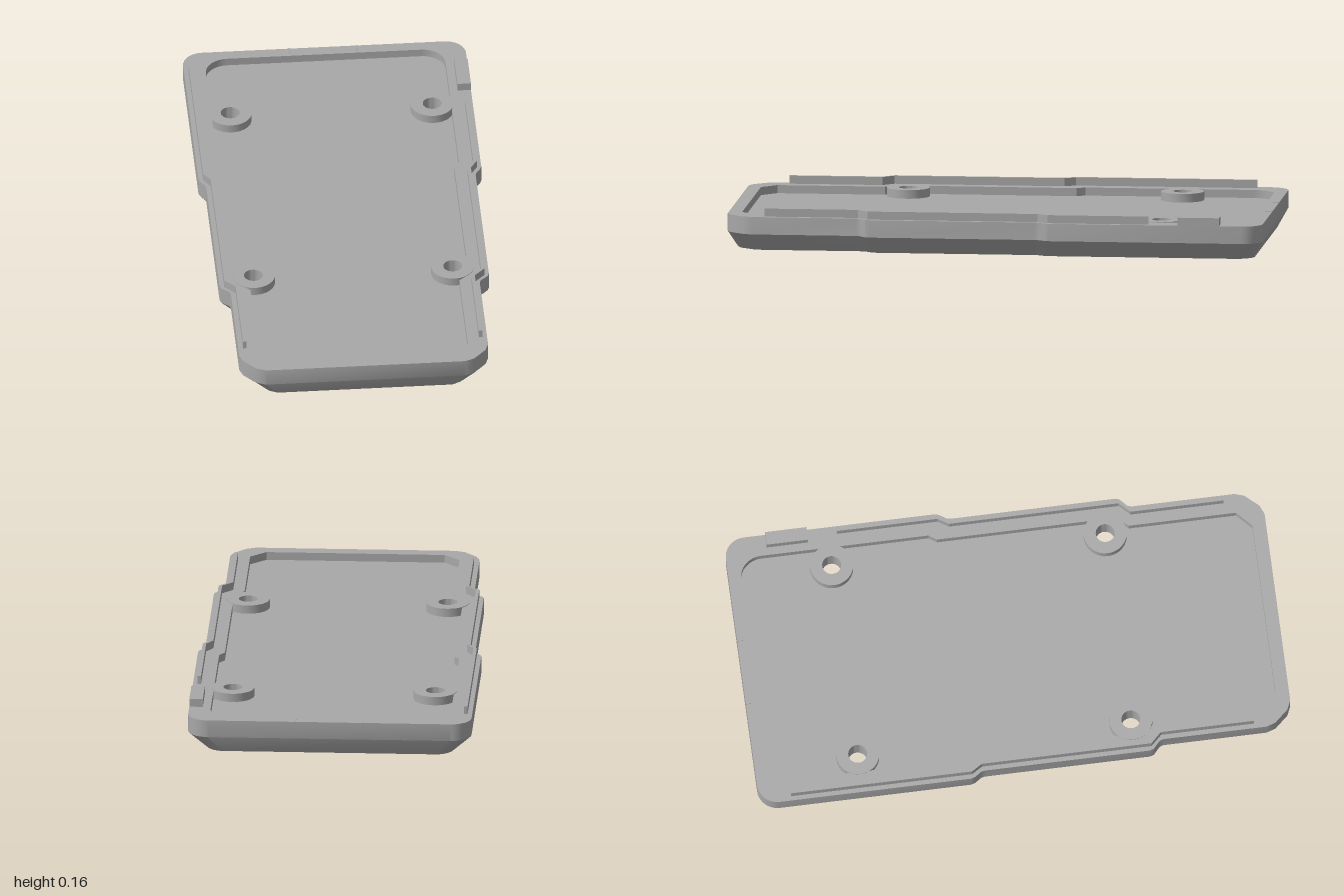
import * as THREE from 'three';
import { toCreasedNormals } from 'three/addons/utils/BufferGeometryUtils.js';

const RIM = 0.13, FLOOR = 0.1, LIP = 0.16;
const BOSSES = [[0.375, -0.615], [-0.375, -0.615], [0.37, 0.405], [-0.37, 0.405]];

// Rounded corner points from the back edge round to the side
function backCorner(x, z, r) {
  const pts = [];
  for (let i = 0; i <= 8; i++) {
    const a = (i / 8) * Math.PI / 2;
    pts.push([x - r + r * Math.sin(a), z + r - r * Math.cos(a)]);
  }
  return pts;
}

// Close a right-hand half outline (back to front) with its mirror image
const mirrored = half => [...half, ...half.map(([x, z]) => [-x, z]).reverse()];

const outer = mirrored([
  ...backCorner(0.525, -1, 0.075),
  [0.525, -0.21], [0.52, -0.195], [0.503, -0.17], [0.5, -0.155],
  [0.5, 0.46], [0.495, 0.475], [0.467, 0.5], [0.462, 0.515],
  [0.462, 0.9], [0.45, 0.935], [0.405, 0.985], [0.37, 1],
]);
const inner = mirrored([
  ...backCorner(0.445, -0.955, 0.085),
  [0.445, -0.245], [0.425, -0.215], [0.425, 0.46],
  [0.388, 0.495], [0.388, 0.895], [0.33, 0.95],
]);

// Flat shape in plan; up = true faces +y, otherwise -y
function plate(points, y, up, holes = []) {
  const s = up ? -1 : 1;
  const shape = new THREE.Shape(points.map(([x, z]) => new THREE.Vector2(x, s * z)));
  for (const h of holes) shape.holes.push(new THREE.Path(h.map(([x, z]) => new THREE.Vector2(x, s * z))));
  return new THREE.ShapeGeometry(shape).rotateX(s * Math.PI / 2).translate(0, y, 0);
}

function circles(r) {
  return BOSSES.map(([cx, cz]) => Array.from({ length: 32 }, (_, i) => {
    const a = i / 32 * Math.PI * 2;
    return [cx + r * Math.cos(a), cz + r * Math.sin(a)];
  }));
}

// Wall through closed rings of [points, y]
function wall(rings) {
  const pos = [];
  for (let k = 0; k < rings.length - 1; k++) {
    const [lo, y0] = rings[k], [hi, y1] = rings[k + 1];
    for (let i = 0; i < lo.length; i++) {
      const j = (i + 1) % lo.length;
      const a = [lo[i][0], y0, lo[i][1]], b = [lo[j][0], y0, lo[j][1]];
      const c = [hi[i][0], y1, hi[i][1]], d = [hi[j][0], y1, hi[j][1]];
      pos.push(...a, ...c, ...b, ...c, ...d, ...b);
    }
  }
  const g = new THREE.BufferGeometry();
  g.setAttribute('position', new THREE.Float32BufferAttribute(pos, 3));
  return toCreasedNormals(g, 0.5);
}

export function createModel() {
  const model = new THREE.Group();
  model.name = 'enclosureHalf';
  const grey = new THREE.MeshStandardMaterial({ color: 0xa8a8a8 });
  grey.name = 'grey plastic';
  const add = (name, geometry) => {
    const m = new THREE.Mesh(geometry, grey);
    m.name = name;
    model.add(m);
    return m;
  };

  // Tray shell with a chamfered lower edge
  const base = outer.map(([x, z]) => [x * 0.875, z * 0.965]);
  add('outerWall', wall([[base, 0], [outer, 0.065], [outer, RIM]]));
  add('underside', plate(base, 0, false, circles(0.06)));
  add('rim', plate(outer, RIM, true, [inner]));
  add('innerWall', wall([[inner, RIM], [inner, FLOOR]]));
  add('floor', plate(inner, FLOOR, true, circles(0.04)));

  // Screw bosses with through holes and counterbores beneath
  const profile = [[0.08, FLOOR], [0.08, 0.132], [0.035, 0.132], [0.035, 0.05], [0.06, 0.05], [0.06, 0]]
    .map(([r, y]) => new THREE.Vector2(r, y));
  const bossGeometry = toCreasedNormals(new THREE.LatheGeometry(profile, 32), 0.5);
  for (const [x, z] of BOSSES) add('screwBoss', bossGeometry).position.set(x, 0, z);

  // Thin locating lips that follow the stepped sides
  function lip(side, start) {
    const path = [[0.508, start], [0.508, -0.205], [0.483, -0.165], [0.483, 0.468], [0.444, 0.508], [0.444, 0.855]];
    const loop = [...path, ...path.map(([x, z]) => [x - 0.013, z]).reverse()];
    const shape = new THREE.Shape(loop.map(([x, z]) => new THREE.Vector2(side * x, -z)));
    return new THREE.ExtrudeGeometry(shape, { depth: LIP - RIM, bevelEnabled: false })
      .rotateX(-Math.PI / 2).translate(0, RIM, 0);
  }
  add('rightLip', lip(-1, -0.88));
  add('leftLip', lip(1, -0.58));

  // Key block on the left rim
  add('keyBlock', new THREE.BoxGeometry(0.05, LIP - RIM, 0.155)).position.set(0.5, (RIM + LIP) / 2, -0.767);

  // Small marks on the back rim
  for (const s of [-1, 1]) {
    add('rimMark', new THREE.BoxGeometry(0.006, 0.004, 0.025)).position.set(s * 0.125, RIM, -0.9875);
  }
  return model;
}
